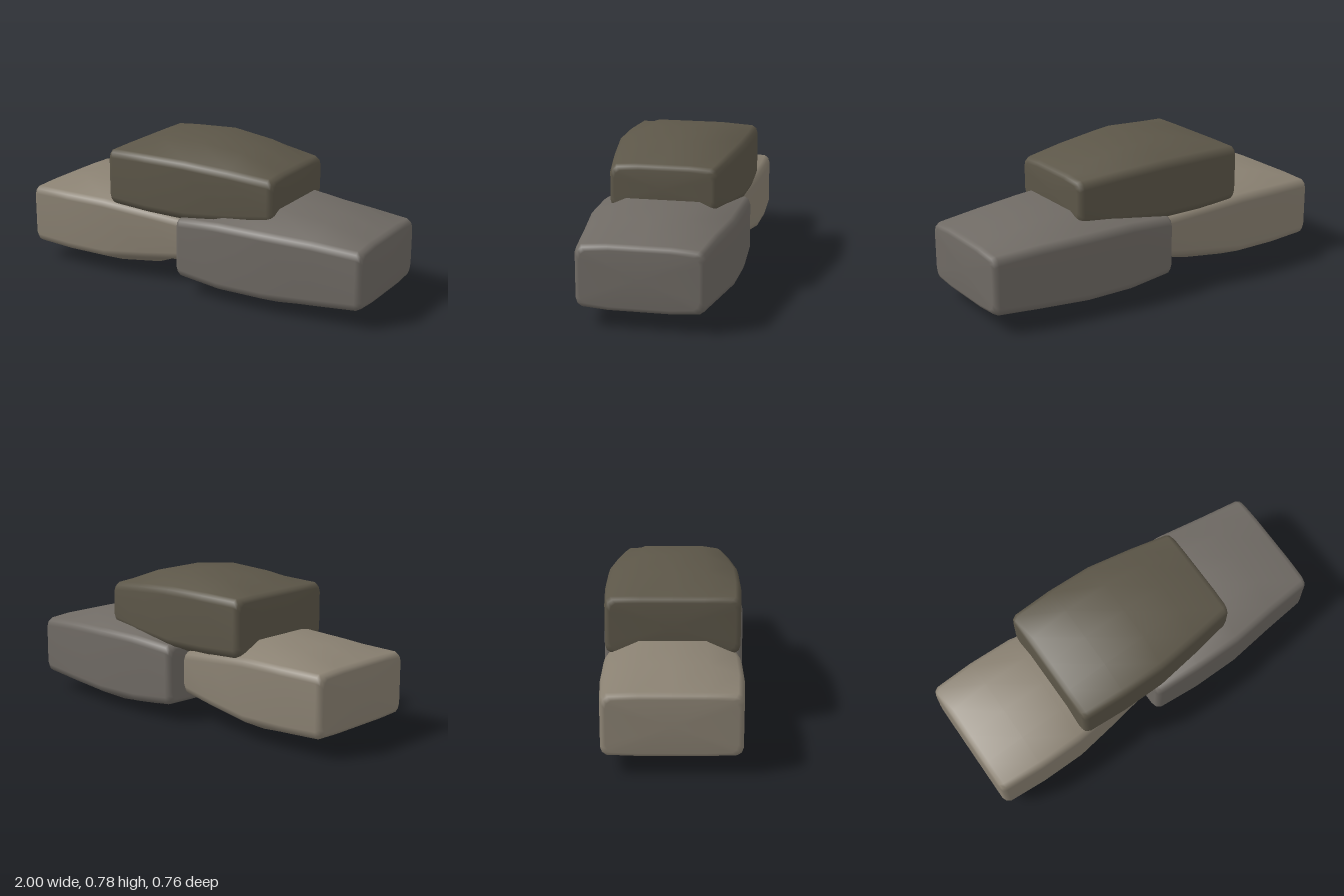
import * as THREE from 'three';

const BEVEL = 0.03;

// Soft-edged cross-section: upright sides, rounded shoulders, crowned top and bottom
function section(w, s, crown, inset) {
  const W = w - inset, S = s - inset, C = crown - inset, b = BEVEL;
  const quarter = [
    [W, S - 1.4 * b], [W - 0.3 * b, S - 0.5 * b], [W - b, S], [W * 0.5, C],
  ];
  const upper = [...quarter, [0, C], ...quarter.map(([z, y]) => [-z, y]).reverse()];
  return [...upper, ...upper.map(([z, y]) => [-z, -y])];
}

// Stone lofted along x; widths, sides and crowns are half sizes at five stations
function stone(name, color, [x, y, z], halfLength, widths, sides, crowns) {
  const L = halfLength, b = BEVEL;
  const rings = [
    [-L, 0, b * 0.9], [-L + 0.3 * b, 0, b * 0.35], [-L + b, 0, 0],
    [-L / 2, 1, 0], [0, 2, 0], [L / 2, 3, 0],
    [L - b, 4, 0], [L - 0.3 * b, 4, b * 0.35], [L, 4, b * 0.9],
  ];
  const pos = [], index = [];
  let n = 0;
  for (const [px, k, inset] of rings) {
    const pts = section(widths[k], sides[k], crowns[k], inset);
    n = pts.length;
    for (const [pz, py] of pts) pos.push(px, py, pz);
  }
  for (let i = 0; i < rings.length - 1; i++) {
    for (let j = 0; j < n; j++) {
      const a = i * n + j, c = i * n + (j + 1) % n;
      index.push(a, a + n, c, a + n, c + n, c);
    }
  }
  // Flat end caps
  const start = pos.length / 3, last = (rings.length - 1) * n;
  pos.push(-L, 0, 0, L, 0, 0);
  for (let j = 0; j < n; j++) {
    const k = (j + 1) % n;
    index.push(start, j, k, start + 1, last + k, last + j);
  }
  const geo = new THREE.BufferGeometry();
  geo.setAttribute('position', new THREE.Float32BufferAttribute(pos, 3));
  geo.setIndex(index);
  geo.computeVertexNormals();
  const mesh = new THREE.Mesh(geo, new THREE.MeshStandardMaterial({ color }));
  mesh.name = name;
  mesh.position.set(x, y, z);
  return mesh;
}

export function createModel() {
  const group = new THREE.Group();
  group.name = 'stonePile';
  group.add(
    stone('lowerRightStone', 0x8a8172, [-0.52, 0.26, 0], 0.48,
      [0.34, 0.35, 0.345, 0.31, 0.275], [0.16, 0.165, 0.165, 0.14, 0.115],
      [0.165, 0.215, 0.23, 0.2, 0.12]),
    stone('lowerLeftStone', 0x6f6a64, [0.48, 0.255, 0], 0.52,
      [0.37, 0.38, 0.375, 0.34, 0.315], [0.16, 0.18, 0.18, 0.17, 0.155],
      [0.165, 0.23, 0.252, 0.225, 0.165]),
    stone('topStone', 0x5c5648, [0, 0.56, 0], 0.48,
      [0.34, 0.348, 0.343, 0.31, 0.275], [0.15, 0.157, 0.157, 0.138, 0.115],
      [0.152, 0.205, 0.22, 0.195, 0.122]),
  );
  return group;
}
